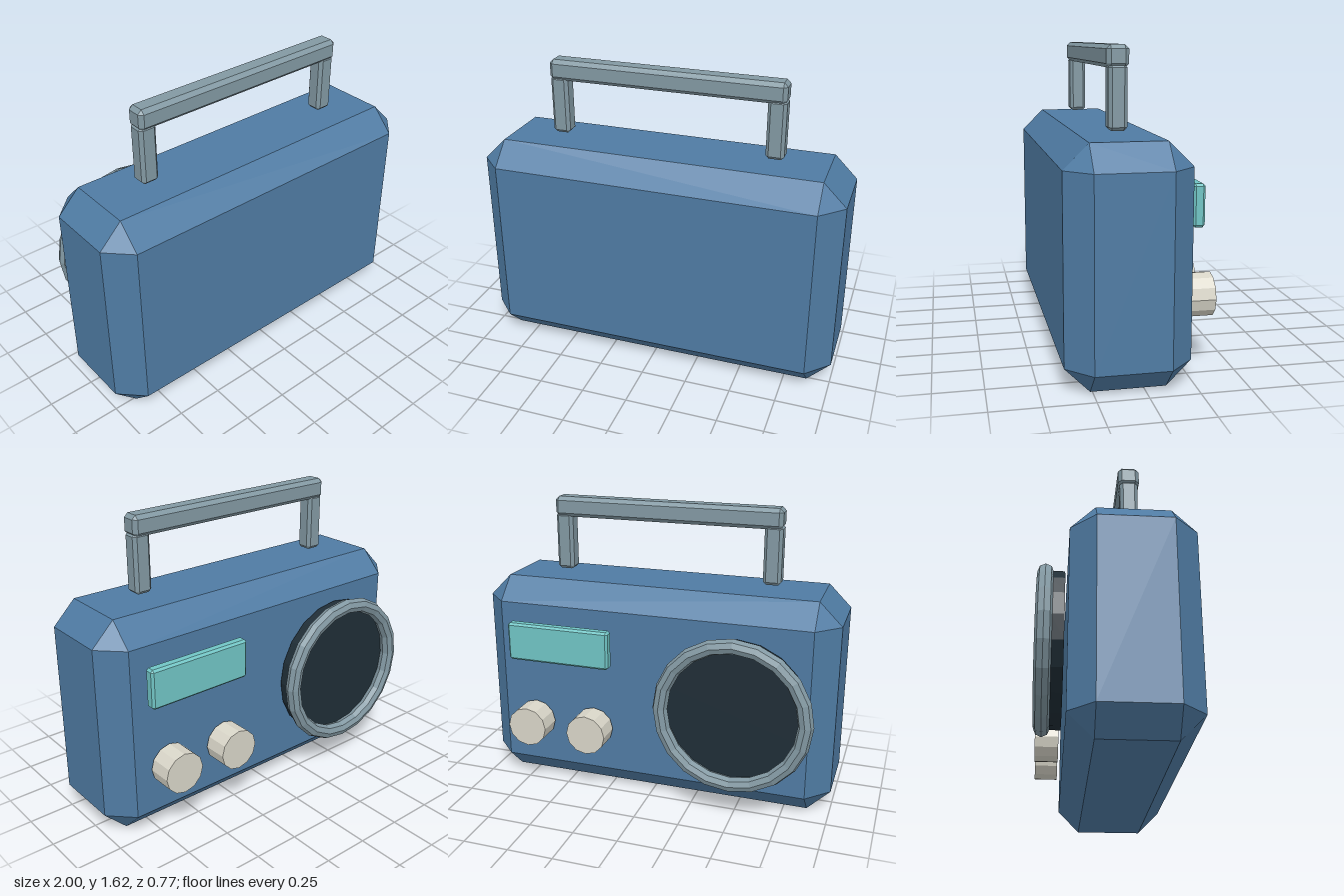
import * as THREE from 'three';
import { ConvexGeometry } from 'three/addons/geometries/ConvexGeometry.js';

const material = (color) => new THREE.MeshStandardMaterial({ color, flatShading: true });

// Box with all edges chamfered by b and triangular corners
function chamferBox(w, h, d, b) {
  const half = [w / 2, h / 2, d / 2];
  const points = [];
  for (const sx of [-1, 1]) for (const sy of [-1, 1]) for (const sz of [-1, 1]) {
    for (let full = 0; full < 3; full++) {
      const [x, y, z] = half.map((v, i) => (i === full ? v : v - b));
      points.push(new THREE.Vector3(sx * x, sy * y, sz * z));
    }
  }
  return new ConvexGeometry(points);
}

// Cylinder with its axis along z
const disc = (r, depth, sides) => new THREE.CylinderGeometry(r, r, depth, sides).rotateX(Math.PI / 2);

export function createModel() {
  const model = new THREE.Group();
  model.name = 'radio';
  const blue = material(0x4f7ba3);
  const steel = material(0x8298a2);
  const cream = material(0xd8d5c8);
  const teal = material(0x70c4c4);
  const dark = material(0x1f2d36);

  const add = (parent, name, geometry, mat, x, y, z) => {
    const mesh = new THREE.Mesh(geometry, mat);
    mesh.name = name;
    mesh.position.set(x, y, z);
    parent.add(mesh);
  };

  // Case
  add(model, 'body', chamferBox(2, 1.19, 0.62, 0.124), blue, 0, 0.595, 0.075);

  // Carrying handle: bar on two posts
  const handle = new THREE.Group();
  handle.name = 'handle';
  model.add(handle);
  add(handle, 'handleBar', chamferBox(1.29, 0.112, 0.112, 0.021), steel, 0, 1.568, 0.077);
  for (const side of [-1, 1]) {
    add(handle, side > 0 ? 'leftPost' : 'rightPost',
      chamferBox(0.098, 0.32, 0.094, 0.017), steel, side * 0.596, 1.372, 0.077);
  }

  // Speaker: dark disc inside a faceted ring
  const speaker = new THREE.Group();
  speaker.name = 'speaker';
  speaker.position.set(-0.488, 0.595, 0);
  model.add(speaker);
  add(speaker, 'speakerCone', disc(0.396, 0.064, 20), dark, 0, 0, -0.282);
  add(speaker, 'speakerRing', new THREE.TorusGeometry(0.39, 0.041, 8, 20), steel, 0, 0, -0.345);

  // Tuning display
  add(model, 'display', chamferBox(0.593, 0.214, 0.06, 0.012), teal, 0.507, 0.863, -0.287);

  // Control knobs
  [0.324, 0.678].forEach((x, i) => {
    add(model, i ? 'outerKnob' : 'innerKnob', disc(0.112, 0.133, 12), cream, x, 0.387, -0.32);
  });

  return model;
}
